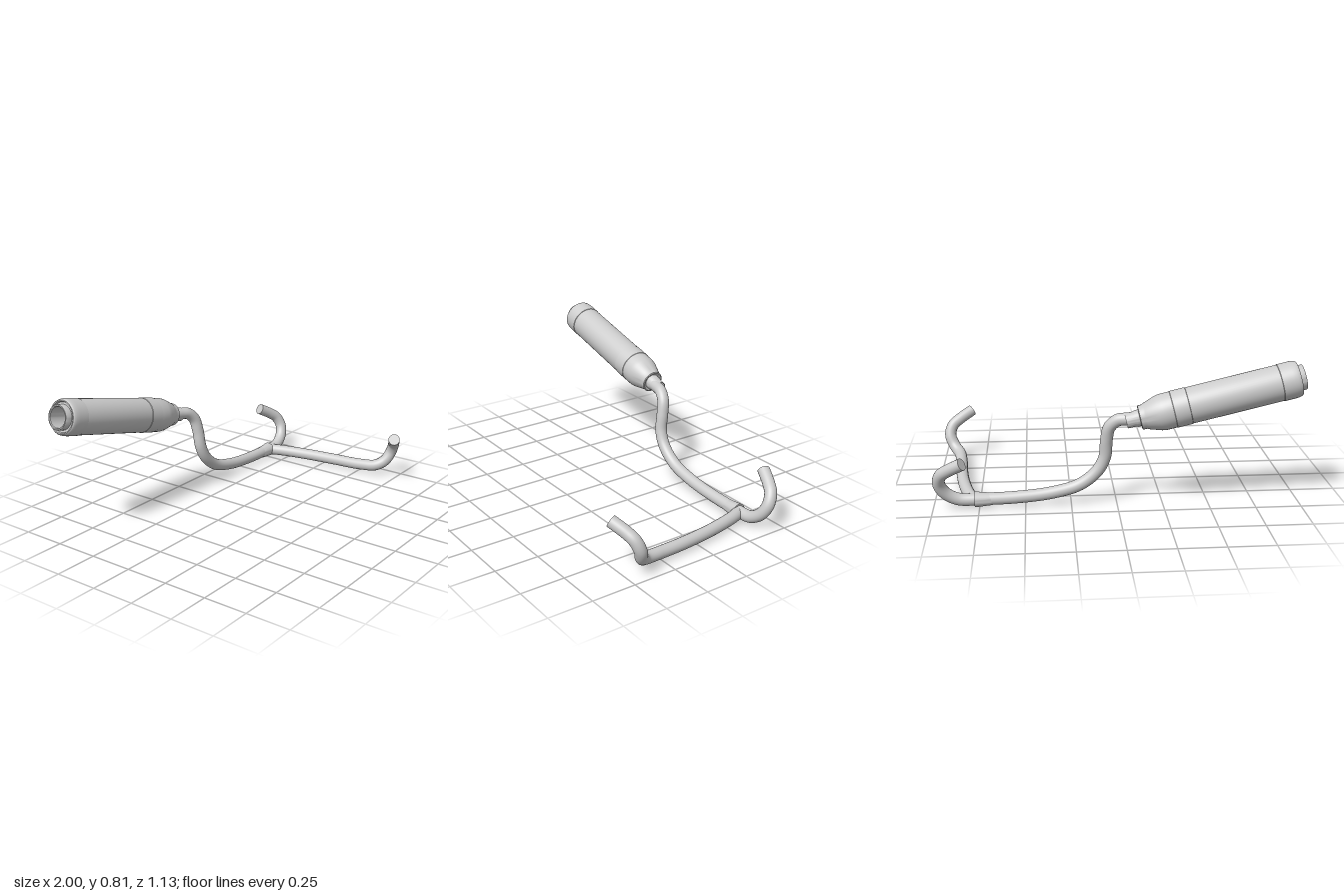
import * as THREE from 'three';
import { toCreasedNormals } from 'three/addons/utils/BufferGeometryUtils.js';

const PIPE_R = 0.034;
const Y = new THREE.Vector3(0, 1, 0), Z = new THREE.Vector3(0, 0, 1);

export function createModel() {
  const model = new THREE.Group();
  model.name = 'exhaustSystem';
  const steel = new THREE.MeshStandardMaterial({ color: 0xcccccc, side: THREE.DoubleSide });
  steel.name = 'brushed steel';

  const add = (name, geometry, parent = model) => {
    const mesh = new THREE.Mesh(geometry, steel);
    mesh.name = name;
    parent.add(mesh);
    return mesh;
  };

  // Round pipe along a smooth path, closed with a flat disc at each end
  const pipe = (name, points) => {
    const group = new THREE.Group();
    group.name = name;
    model.add(group);
    const curve = new THREE.CatmullRomCurve3(points.map(p => new THREE.Vector3(...p)));
    add(name + 'Tube', new THREE.TubeGeometry(curve, 90, PIPE_R, 28), group);
    for (const t of [0, 1]) {
      const cap = add(name + 'Cap', new THREE.CircleGeometry(PIPE_R, 28), group);
      cap.position.copy(curve.getPointAt(t));
      cap.quaternion.setFromUnitVectors(Z, curve.getTangentAt(t).multiplyScalar(t ? 1 : -1));
    }
  };

  // Turned part: profile of [radius, distance along axis]
  const turned = (name, profile, parent) => add(name, toCreasedNormals(
    new THREE.LatheGeometry(profile.map(p => new THREE.Vector2(...p)), 48), 0.5), parent);

  // Silencer, its axis running from the outlet down to the inlet
  const silencer = new THREE.Group();
  silencer.name = 'silencer';
  silencer.position.set(-0.985, 0.73, -0.472);
  silencer.quaternion.setFromUnitVectors(Y, new THREE.Vector3(0.971, -0.238, 0.028).normalize());
  model.add(silencer);
  turned('outletTube', [[0, 0.12], [0.056, 0.12], [0.056, 0.004], [0.06, 0],
    [0.066, 0], [0.068, 0.004], [0.068, 0.05]], silencer);
  turned('endCap', [[0.066, 0.04], [0.08, 0.04], [0.084, 0.029], [0.09, 0.029],
    [0.096, 0.036], [0.099, 0.05], [0.1, 0.07], [0.1, 0.131], [0.097, 0.133]], silencer);
  turned('silencerBody', [[0.097, 0.13], [0.098, 0.137], [0.098, 0.63]], silencer);
  turned('clampBand', [[0.097, 0.627], [0.1, 0.63], [0.1, 0.712], [0.097, 0.715]], silencer);
  turned('inletCone', [[0.098, 0.712], [0.098, 0.77], [0.094, 0.795], [0.072, 0.86],
    [0.066, 0.872], [0.066, 0.893], [0.06, 0.896], [0.04, 0.885]], silencer);
  turned('inletSleeve', [[0.045, 0.88], [0.045, 0.915], [0.041, 0.925], [0.04, 0.97],
    [0.036, 0.97], [0.036, 0.9], [0, 0.9]], silencer);

  // Mid pipe from the silencer down and along to the joint
  pipe('midPipe', [[-0.12, 0.515, -0.44], [-0.05, 0.507, -0.432], [0.0, 0.498, -0.42],
    [0.043, 0.455, -0.405], [0.058, 0.38, -0.39], [0.066, 0.28, -0.377], [0.105, 0.2, -0.372],
    [0.2, 0.122, -0.371], [0.35, 0.078, -0.371], [0.55, 0.056, -0.371], [0.77, 0.05, -0.371]]);

  // Flared collar where the two headers meet
  const collar = turned('jointCollar', [[0.034, 0], [0.043, 0.09], [0.034, 0.09]], model);
  collar.position.set(0.685, 0.05, -0.371);
  collar.rotation.z = -Math.PI / 2;

  // Rear header curls up and back over itself
  pipe('rearHeader', [[0.75, 0.05, -0.371], [0.865, 0.056, -0.373], [0.935, 0.1, -0.385],
    [0.963, 0.16, -0.405], [0.948, 0.215, -0.432], [0.905, 0.25, -0.455], [0.83, 0.293, -0.485]]);

  // Front header crosses over and ends in the matching curl
  pipe('frontHeader', [[0.775, 0.049, -0.375], [0.803, 0.049, -0.31], [0.845, 0.049, -0.13],
    [0.873, 0.05, 0.08], [0.888, 0.055, 0.27], [0.905, 0.068, 0.37], [0.938, 0.1, 0.415],
    [0.963, 0.16, 0.442], [0.948, 0.215, 0.464], [0.905, 0.25, 0.487], [0.83, 0.293, 0.527]]);

  return model;
}
